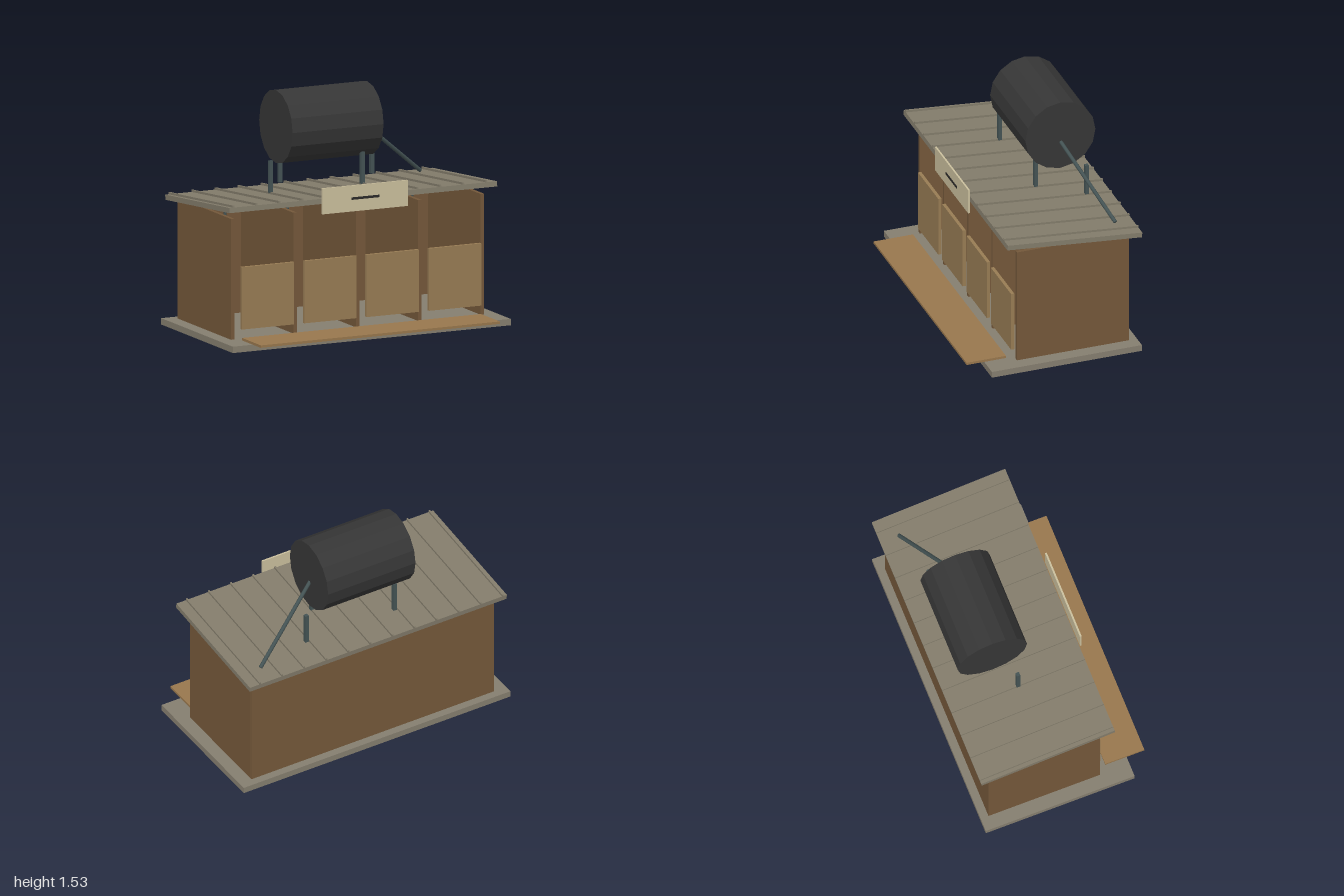
import * as THREE from 'three';

const mat = (name, color) => {
  const m = new THREE.MeshStandardMaterial({ color });
  m.name = name;
  return m;
};

export function createModel() {
  const concrete = mat('concrete', 0x857e6f);
  const roofMetal = mat('roof metal', 0x837c6b);
  const wallWood = mat('wall wood', 0x74583a);
  const doorWood = mat('door wood', 0x987c54);
  const deckWood = mat('deck wood', 0x98774d);
  const tankBlack = mat('tank black', 0x363636);
  const steel = mat('dark steel', 0x445354);
  const signCream = mat('sign cream', 0xcabf9d);
  const plateDark = mat('plate dark', 0x2b2a28);

  const group = new THREE.Group();
  group.name = 'showerBlock';

  const add = (name, geometry, material, parent = group) => {
    const mesh = new THREE.Mesh(geometry, material);
    mesh.name = name;
    parent.add(mesh);
    return mesh;
  };
  // Box given by its lower and upper limits on each axis
  const box = (name, material, x0, x1, y0, y1, z0, z1, parent) => {
    const mesh = add(name, new THREE.BoxGeometry(x1 - x0, y1 - y0, z1 - z0), material, parent);
    mesh.position.set((x0 + x1) / 2, (y0 + y1) / 2, (z0 + z1) / 2);
    return mesh;
  };
  // Round rod between two points
  const rod = (name, material, a, b, radius, sides = 8) => {
    const dir = new THREE.Vector3().subVectors(b, a);
    const mesh = add(name, new THREE.CylinderGeometry(radius, radius, dir.length(), sides), material);
    mesh.position.copy(a).add(b).multiplyScalar(0.5);
    mesh.quaternion.setFromUnitVectors(new THREE.Vector3(0, 1, 0), dir.normalize());
    return mesh;
  };

  // Slab and the deck in front of the stalls
  box('slab', concrete, -1, 1, 0, 0.042, -0.566, 0.463);
  box('frontDeck', deckWood, -0.86, 0.86, 0.044, 0.06, 0.315, 0.585);

  // Back wall, end walls and dividers
  box('backWall', wallWood, -0.91, 0.91, 0.042, 0.832, -0.512, -0.497);
  for (let i = 0; i < 5; i++) {
    const x = -0.898 + i * 0.449;
    box('stallWall', wallWood, x - 0.0125, x + 0.0125, 0.042, 0.835, -0.497, 0.258);
  }

  // Each stall has a door and a shower
  for (let i = 0; i < 4; i++) {
    const shift = i * 0.449;
    box('stallDoor', doorWood, -0.846 + shift, -0.47 + shift, 0.108, 0.517, 0.264, 0.286);
    const x = -0.674 + shift;
    rod('showerPipe', steel, new THREE.Vector3(x, 0.845, -0.3), new THREE.Vector3(x, 0.665, -0.3), 0.009);
    const head = add('showerHead', new THREE.CylinderGeometry(0.022, 0.031, 0.025, 14), steel);
    head.position.set(x, 0.66, -0.29);
    head.rotation.x = -1.1;
  }

  // Sloping roof with standing ribs
  const roof = new THREE.Group();
  roof.name = 'roof';
  roof.position.set(0, 0.87, -0.12);
  roof.rotation.x = -0.0865;
  group.add(roof);
  box('roofPanel', roofMetal, -0.963, 0.963, -0.017, 0.017, -0.463, 0.463, roof);
  for (let i = 0; i < 12; i++) {
    const x = -0.933 + i * 0.1654;
    box('roofRib', roofMetal, x - 0.006, x + 0.006, 0.017, 0.031, -0.463, 0.463, roof);
  }

  // Water tank lying on its side
  const tankGeometry = new THREE.CylinderGeometry(0.24, 0.24, 0.655, 16).toNonIndexed();
  tankGeometry.computeVertexNormals();
  tankGeometry.rotateZ(Math.PI / 2);
  add('waterTank', tankGeometry, tankBlack).position.set(-0.002, 1.295, -0.257);

  // Tank posts, front pair and back pair staggered
  for (const [x, z] of [[-0.436, -0.123], [0.225, -0.123], [-0.23, -0.397], [0.43, -0.397]]) {
    box('tankPost', steel, x - 0.0125, x + 0.0125, 0.895, 1.105, z - 0.0125, z + 0.0125);
  }

  // Feed pipe running down from the tank to the roof
  rod('feedPipe', steel, new THREE.Vector3(0.32, 1.245, -0.26), new THREE.Vector3(0.808, 0.868, -0.455), 0.013);

  // Sign board with a plain dark plate
  box('signBoard', signCream, -0.309, 0.306, 0.83, 1.0, 0.357, 0.369);
  box('signPlate', plateDark, -0.1, 0.1, 0.907, 0.923, 0.369, 0.373);

  return group;
}
